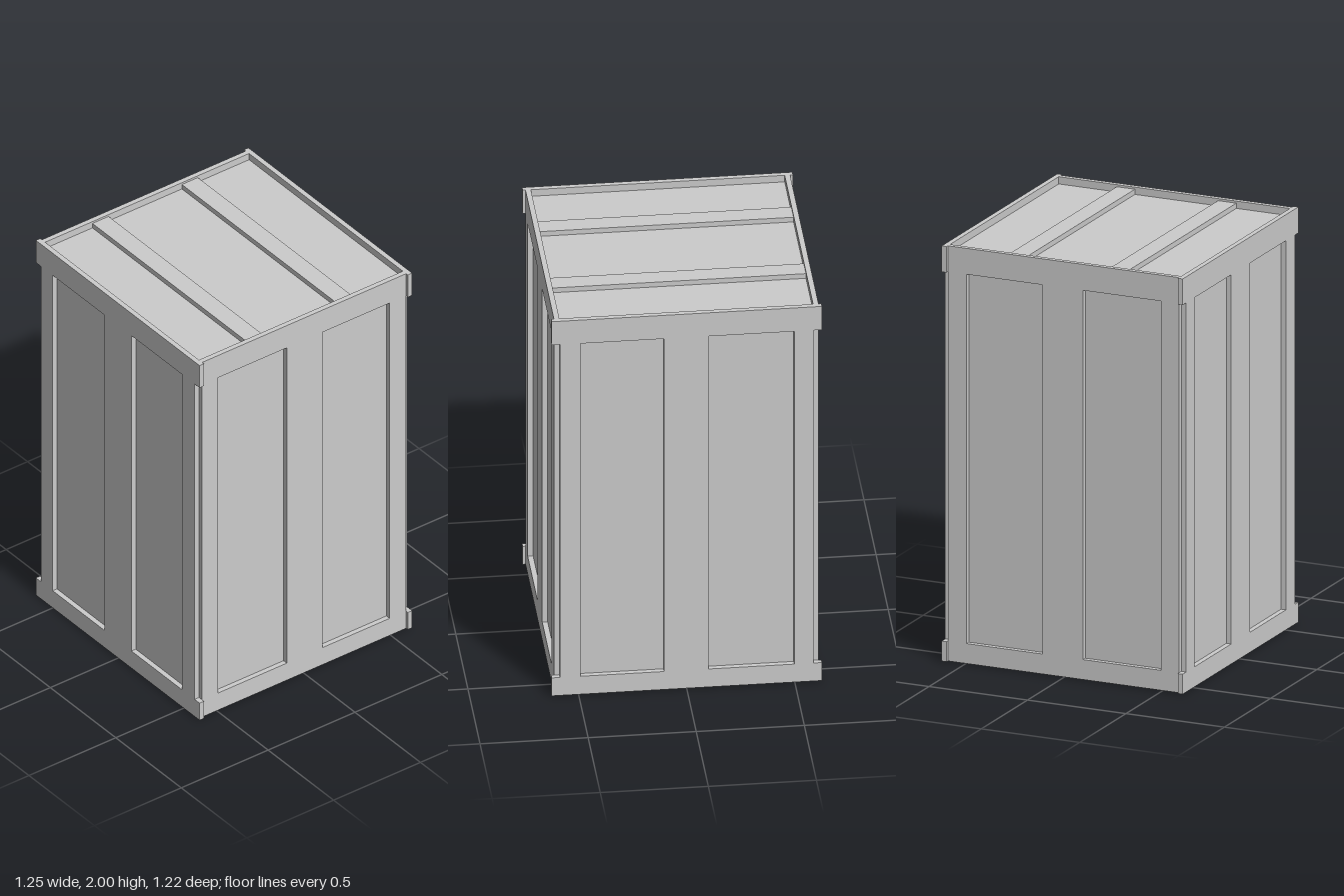
import * as THREE from 'three';

const material = new THREE.MeshStandardMaterial({ color: 0xcccccc, flatShading: true });

// Box given by its lower and upper corner
function board(name, [x0, y0, z0], [x1, y1, z1]) {
  const geometry = new THREE.BoxGeometry(x1 - x0, y1 - y0, z1 - z0);
  geometry.translate((x0 + x1) / 2, (y0 + y1) / 2, (z0 + z1) / 2);
  const mesh = new THREE.Mesh(geometry, material);
  mesh.name = name;
  return mesh;
}

const IN = 0.587, OUT = 0.612;          // panel surface and batten surface
const BASE = 0.004, TOP = 2;            // outer edges of the rails
const LOW = 0.1, HIGH = 1.875;          // inner edges of the rails

// Frame of one wall, built facing +z
function wallFrame(name, halfRail, slats) {
  const group = new THREE.Group();
  group.name = name;
  group.add(
    board('bottomRail', [-halfRail, BASE, IN], [halfRail, LOW, OUT]),
    board('topRail', [-halfRail, HIGH, IN], [halfRail, TOP, OUT])
  );
  for (const [a, b] of slats) group.add(board('uprightSlat', [a, LOW, IN], [b, HIGH, OUT]));
  return group;
}

export function createModel() {
  const crate = new THREE.Group();
  crate.name = 'crate';

  // Inner box, recessed below the rims at both ends
  crate.add(board('innerBox', [-IN, 0.027, -IN], [IN, 1.965, IN]));

  // Four framed walls; front and back rails overlap the side rails
  const slats = [[-IN, -0.497], [-0.1, 0.105], [0.492, IN]];
  const mirrored = slats.map(([a, b]) => [-b, -a]);
  const walls = [
    ['frontFrame', 0, 0.625, slats],
    ['leftFrame', Math.PI / 2, IN, mirrored.map(([a, b]) => [-b, -a]).map(([a, b]) => [a, b])],
    ['backFrame', Math.PI, 0.625, mirrored],
    ['rightFrame', -Math.PI / 2, IN, mirrored]
  ];
  for (const [name, angle, halfRail, list] of walls) {
    const frame = wallFrame(name, halfRail, list);
    frame.rotation.y = angle;
    crate.add(frame);
  }

  // Cross battens on the lid and the floor
  for (const [z0, z1] of [[-0.292, -0.2], [0.222, 0.315]]) {
    crate.add(
      board('lidBatten', [-IN, 1.965, z0], [IN, 1.99, z1]),
      board('floorBatten', [-IN, 0, z0], [IN, 0.027, z1])
    );
  }
  return crate;
}
